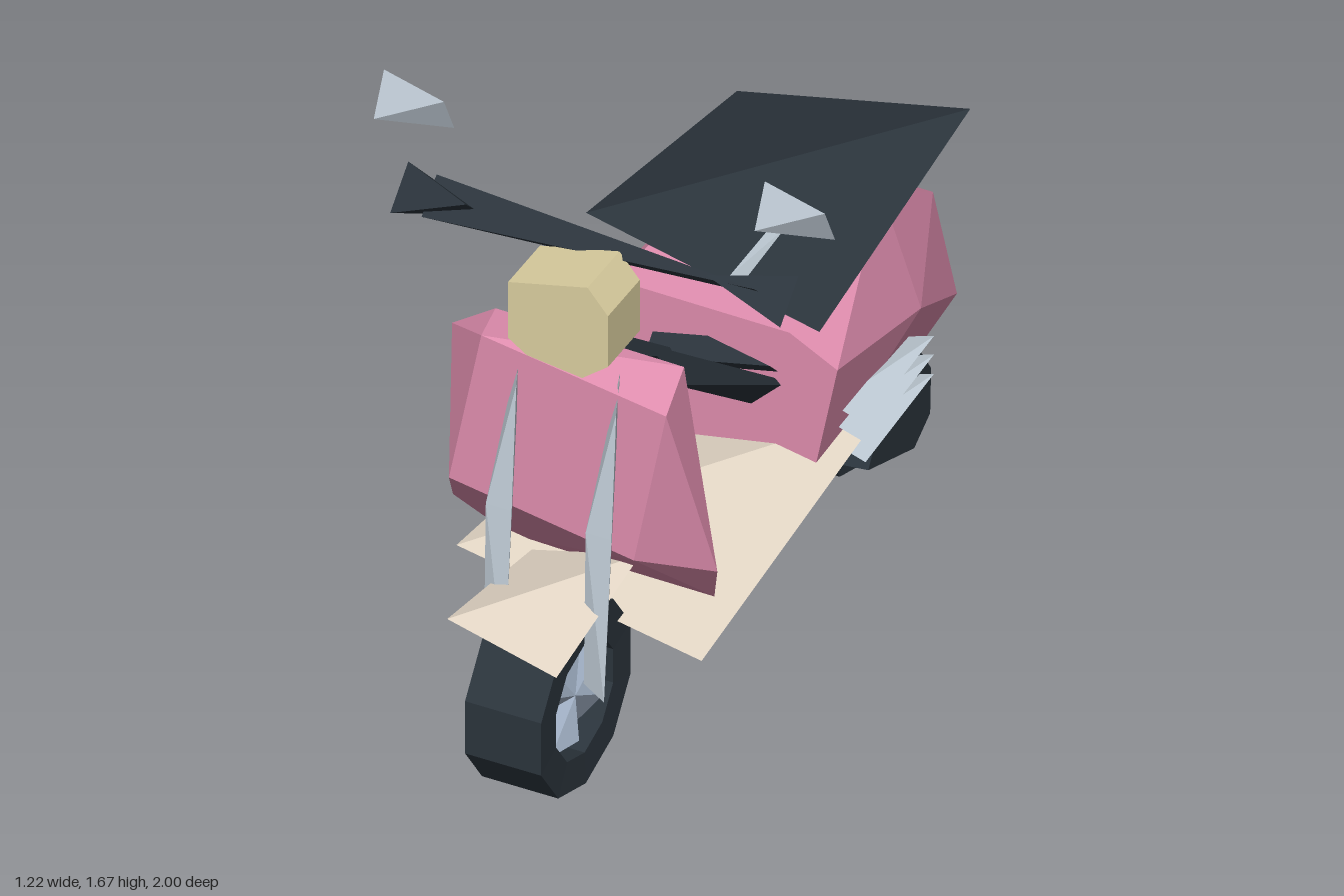
import * as THREE from 'three';
import { ConvexGeometry } from 'three/addons/geometries/ConvexGeometry.js';

const material = (name, color, extra = {}) => {
  const m = new THREE.MeshStandardMaterial({ color, ...extra });
  m.name = name;
  return m;
};

export function createModel() {
  const pink = material('pink paint', 0xdf8dae);
  const dark = material('dark rubber', 0x2b343c);
  const cream = material('cream panel', 0xe5d8c7);
  const lamp = material('lamp yellow', 0xdccfa0);
  const chrome = material('chrome', 0xc0ccd6);
  const steel = material('blue steel', 0xa9b9ce, { side: THREE.DoubleSide });
  const red = material('tail red', 0xcc312d);

  const group = new THREE.Group();
  group.name = 'scooter';
  const add = (name, geometry, mat) => {
    const mesh = new THREE.Mesh(geometry, mat);
    mesh.name = name;
    group.add(mesh);
    return mesh;
  };
  // Faceted solid around a few corner points
  const hull = (points) => new ConvexGeometry(points.map((p) => new THREE.Vector3(...p)));
  // Wedge joining four alternate corners of a box; s chooses which four
  const wedge = ([x0, x1], [y0, y1], [z0, z1], s) => hull(s > 0
    ? [[x1, y1, z1], [x1, y0, z0], [x0, y1, z0], [x0, y0, z1]]
    : [[x0, y0, z0], [x0, y1, z1], [x1, y0, z1], [x1, y1, z0]]);

  // Wheels: ten-sided tyre ring and a folded fan hub
  const ring = [[0.25, -0.103], [0.25, 0.103], [0.16, 0.1], [0.16, -0.1], [0.25, -0.103]];
  const tyre = new THREE.LatheGeometry(ring.map((p) => new THREE.Vector2(...p)), 10, Math.PI / 2)
    .toNonIndexed();
  tyre.rotateZ(Math.PI / 2);
  tyre.computeVertexNormals();

  const hubPositions = [];
  const rim = (i, side) => {
    const a = (i / 12) * Math.PI * 2;
    const r = i % 3 === 0 ? 0.13 : 0.18;
    return [side * (i % 2 ? 0.03 : 0.085), r * Math.cos(a), r * Math.sin(a)];
  };
  for (const side of [-1, 1]) {
    for (let i = 0; i < 12; i++) {
      const a = rim(i, side), b = rim((i + 1) % 12, side);
      hubPositions.push(side * 0.075, 0, 0, ...(side > 0 ? a : b), ...(side > 0 ? b : a));
    }
  }
  const hub = new THREE.BufferGeometry();
  hub.setAttribute('position', new THREE.Float32BufferAttribute(hubPositions, 3));
  hub.computeVertexNormals();

  for (const [name, z] of [['front', 0.76], ['rear', -0.742]]) {
    add(name + 'Tyre', tyre, dark).position.set(0, 0.253, z);
    add(name + 'Hub', hub, steel).position.set(0, 0.253, z);
  }

  // Front fender and footboard
  add('frontFender', wedge([-0.15, 0.145], [0.48, 0.56], [0.55, 1], -1), cream);
  add('footboard', wedge([-0.333, 0.33], [0.33, 0.46], [-0.38, 0.59], -1), cream);

  // Leg shield
  add('legShield', hull([
    [-0.21, 1.19, 0.70], [0.29, 1.11, 0.70], [0.205, 0.66, 0.705], [-0.295, 0.745, 0.705],
    [-0.36, 1.09, 0.56], [-0.36, 0.58, 0.555], [0.355, 0.58, 0.555],
    [0.27, 1.165, 0.565], [-0.24, 1.175, 0.565],
    [-0.26, 0.415, 0.437], [0.287, 0.41, 0.437],
  ]), pink);

  // Fork legs, tapering to a point that leans back through the shield
  for (const [name, x] of [['rightForkLeg', 0], ['leftForkLeg', 0.27]]) {
    add(name, hull([
      [x - 0.105, 1.09, 0.72], [x - 0.12, 1.175, 0.67], [x - 0.17, 0.74, 0.755],
      [x - 0.1, 0.74, 0.755], [x - 0.17, 0.3, 0.765], [x - 0.1, 0.285, 0.795],
      [x - 0.135, 0.285, 0.735],
    ]), chrome);
  }

  // Steering column, handlebar and grips
  add('steeringColumn', hull([
    [-0.045, 1.39, 0.46], [0.045, 1.39, 0.46], [0, 1.38, 0.55], [0, 1.05, 0.535],
  ]), chrome);
  add('handlebar', wedge([-0.45, 0.45], [1.365, 1.44], [0.465, 0.545], 1), dark);
  add('rightGrip', wedge([-0.53, -0.325], [1.357, 1.448], [0.458, 0.555], 1), dark);
  add('leftGrip', wedge([0.325, 0.525], [1.357, 1.448], [0.458, 0.555], -1), dark);

  // Headlight: irregular seven-sided block
  const lens = new THREE.Shape([
    [-0.135, 1.21], [-0.085, 1.175], [0.065, 1.155], [0.135, 1.21],
    [0.135, 1.36], [0.08, 1.427], [-0.135, 1.375],
  ].map((p) => new THREE.Vector2(...p)));
  add('headlight', new THREE.ExtrudeGeometry(lens, { depth: 0.17, bevelEnabled: false }), lamp)
    .position.z = 0.535;

  // Mirrors, with a stem on the left one
  add('rightMirror', wedge([-0.61, -0.42], [1.565, 1.677], [0.43, 0.485], 1), chrome);
  add('leftMirror', wedge([0.42, 0.61], [1.565, 1.677], [0.43, 0.485], 1), chrome);
  add('mirrorStem', hull([
    [0.365, 1.43, 0.51], [0.405, 1.43, 0.5], [0.385, 1.43, 0.475],
    [0.45, 1.57, 0.465], [0.49, 1.58, 0.46], [0.47, 1.58, 0.445],
  ]), chrome);

  // Rear body, drawn in towards the bottom on the exhaust side
  add('rearBody', hull([
    [-0.27, 0.805, -0.135], [0.2, 0.80, -0.135], [-0.335, 0.73, -0.135], [0.33, 0.73, -0.135],
    [-0.3, 0.37, -0.135], [0.265, 0.40, -0.135], [0.15, 0.355, -0.135],
    [-0.2, 0.885, -0.66], [0.18, 0.885, -0.66], [-0.38, 0.46, -0.66], [0.31, 0.6, -0.62],
    [-0.25, 0.70, -0.94], [0.18, 0.70, -0.94], [-0.23, 0.42, -0.94], [0.245, 0.42, -0.94],
    [-0.28, 0.375, -0.66], [0.24, 0.37, -0.66],
  ]), pink);
  add('tailLight', wedge([-0.11, 0.108], [0.62, 0.73], [-1, -0.948], 1), red);

  // Seat
  add('seat', wedge([-0.317, 0.314], [0.88, 1.03], [-0.875, -0.07], -1), dark);

  // Sloping struts behind the shield, with a cross bar
  for (const [name, x] of [['rightStrut', -0.135], ['leftStrut', 0.132]]) {
    const strut = add(name, wedge([-0.045, 0.045], [-0.038, 0.038], [-0.4, 0.4], -1), dark);
    strut.position.set(x, 0.78, 0.09);
    strut.rotation.x = -0.66;
  }
  add('strutCrossBar', wedge([-0.17, 0.17], [0.64, 0.72], [-0.17, -0.09], 1), dark);

  // Engine case, drive arm and exhaust pipes on the left side
  const engine = [];
  for (const [z, y] of [[-0.325, 0.31], [-0.42, 0.46], [-0.5, 0.52], [-0.6, 0.49], [-0.66, 0.4],
    [-0.655, 0.25], [-0.57, 0.2]]) {
    engine.push([0.17, y - 0.015, z], [0.317, y + (y < 0.3 ? 0.02 : 0), z]);
  }
  add('engineCase', hull(engine), dark);
  add('driveArm', wedge([0.06, 0.22], [0.25, 0.36], [-0.75, -0.58], 1), dark);
  for (const y of [0.53, 0.475, 0.418]) {
    add('exhaustPipe', wedge([0.265, 0.355], [y - 0.015, y + 0.015], [-0.6, -0.235], -1), chrome);
  }
  return group;
}
